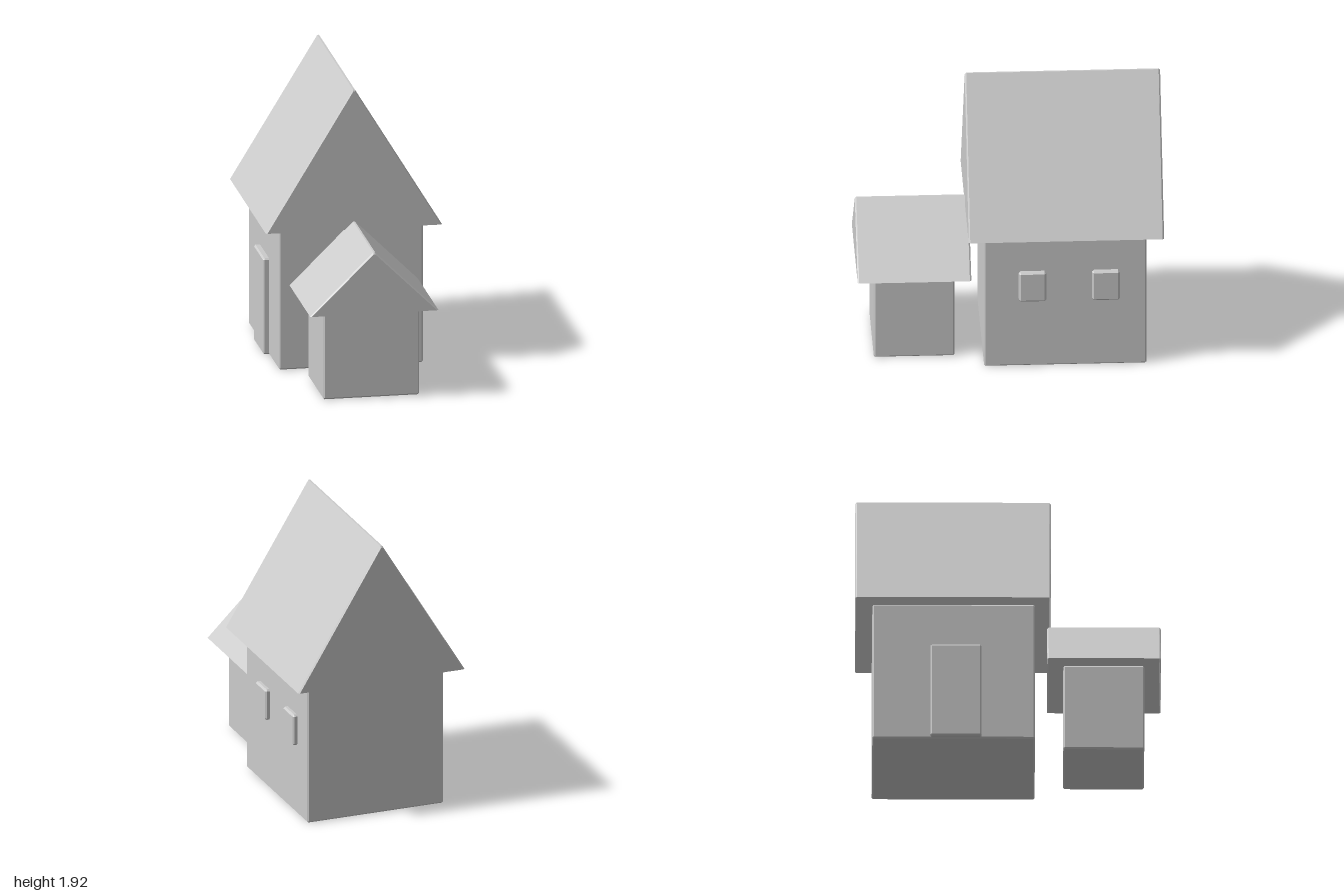
import * as THREE from 'three';
import { ConvexGeometry } from 'three/addons/geometries/ConvexGeometry.js';

const material = new THREE.MeshStandardMaterial({ color: 0xcccccc, flatShading: true });
const shellMaterial = new THREE.MeshStandardMaterial({ color: 0xcccccc, flatShading: true, side: THREE.DoubleSide });

// Box between two corners with a flat chamfer c on every edge
function chamferBox(name, [x0, y0, z0], [x1, y1, z1], c) {
  const h = new THREE.Vector3(x1 - x0, y1 - y0, z1 - z0).multiplyScalar(0.5);
  const points = [];
  for (const sx of [-1, 1]) for (const sy of [-1, 1]) for (const sz of [-1, 1]) {
    for (const face of ['x', 'y', 'z']) {
      const p = h.clone().subScalar(c);
      p[face] += c;
      points.push(p.multiply(new THREE.Vector3(sx, sy, sz)));
    }
  }
  const mesh = new THREE.Mesh(new ConvexGeometry(points), material);
  mesh.name = name;
  mesh.position.set((x0 + x1) / 2, (y0 + y1) / 2, (z0 + z1) / 2);
  return mesh;
}

// Gabled roof shell, open underneath, with chamfered gable edges and ridge
function gableRoof(name, halfWidth, eaveY, ridgeY, frontZ, backZ) {
  const c = 0.01, ridge = 0.006;
  const section = (z, inset) => {
    const w = halfWidth - inset, y = ridgeY - inset * 1.3;
    return [[-w, eaveY, z], [-ridge, y, z], [ridge, y, z], [w, eaveY, z]];
  };
  const rows = [section(frontZ, c), section(frontZ - c, 0), section(backZ + c, 0), section(backZ, c)];
  const positions = [];
  const quad = (a, b, d, e) => positions.push(...a, ...b, ...d, ...a, ...d, ...e);
  for (let i = 0; i < 3; i++) {
    for (let j = 0; j < 3; j++) quad(rows[i][j], rows[i][j + 1], rows[i + 1][j + 1], rows[i + 1][j]);
  }
  const [f, b] = [rows[0], rows[3]];
  quad(f[0], f[3], f[2], f[1]);
  quad(b[3], b[0], b[1], b[2]);
  const geometry = new THREE.BufferGeometry();
  geometry.setAttribute('position', new THREE.Float32BufferAttribute(positions, 3));
  geometry.computeVertexNormals();
  const mesh = new THREE.Mesh(geometry, shellMaterial);
  mesh.name = name;
  return mesh;
}

export function createModel() {
  const model = new THREE.Group();
  model.name = 'house';

  // Main house
  model.add(chamferBox('houseWalls', [-0.48, 0, -0.89], [0.48, 0.965, 0.175], 0.01));
  model.add(gableRoof('houseRoof', 0.587, 0.967, 1.92, 0.28, -1));

  // Small annex in front
  model.add(chamferBox('annexWalls', [-0.32, 0, 0.36], [0.32, 0.6, 0.89], 0.01));
  model.add(gableRoof('annexRoof', 0.427, 0.603, 1.02, 1, 0.255));

  // Door on one side, two windows on the other
  model.add(chamferBox('door', [-0.52, 0.005, -0.51], [-0.44, 0.66, -0.175], 0.01));
  for (const z of [-0.142, -0.623]) {
    model.add(chamferBox('window', [0.43, 0.483, z - 0.09], [0.511, 0.698, z + 0.09], 0.012));
  }
  return model;
}
